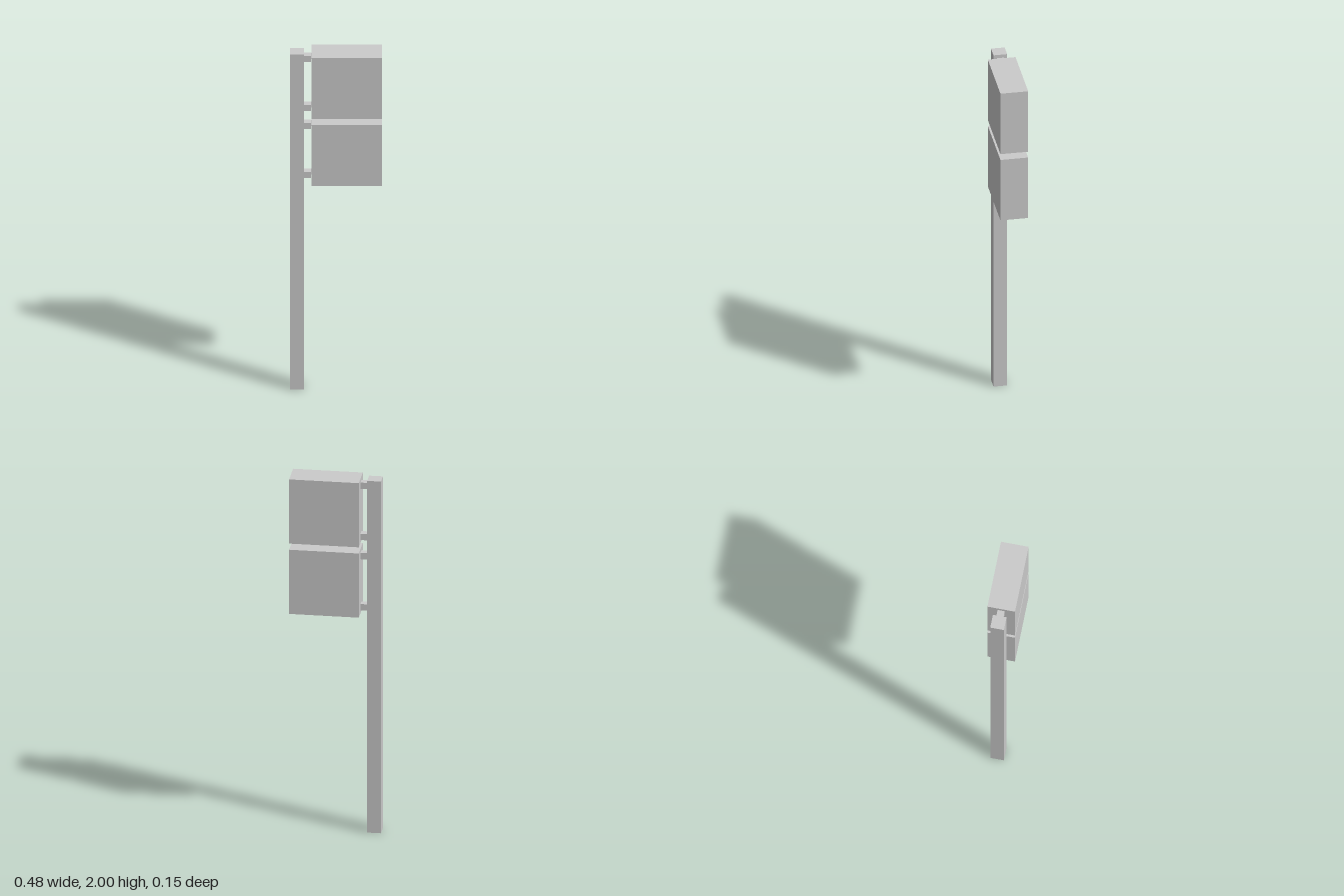
import * as THREE from 'three';

export function createModel() {
  const group = new THREE.Group();
  const material = new THREE.MeshStandardMaterial({ color: 0xcccccc, flatShading: true });

  function box(name, w, h, d, x, y, parent = group) {
    const mesh = new THREE.Mesh(new THREE.BoxGeometry(w, h, d), material);
    mesh.name = name;
    mesh.position.set(x, y, 0);
    parent.add(mesh);
  }

  // Square post
  box('post', 0.073, 2, 0.073, -0.2045, 1);

  // Two box signs, each held to the post by an upper and a lower bracket
  [['upperSign', 1.8175], ['lowerSign', 1.4175]].forEach(([name, y]) => {
    const sign = new THREE.Group();
    sign.name = name;
    sign.position.y = y;
    box('signBox', 0.37, 0.365, 0.148, 0.056, 0, sign);
    box('upperBracket', 0.038, 0.036, 0.038, -0.149, 0.1455, sign);
    box('lowerBracket', 0.038, 0.036, 0.038, -0.149, -0.1455, sign);
    group.add(sign);
  });

  return group;
}
